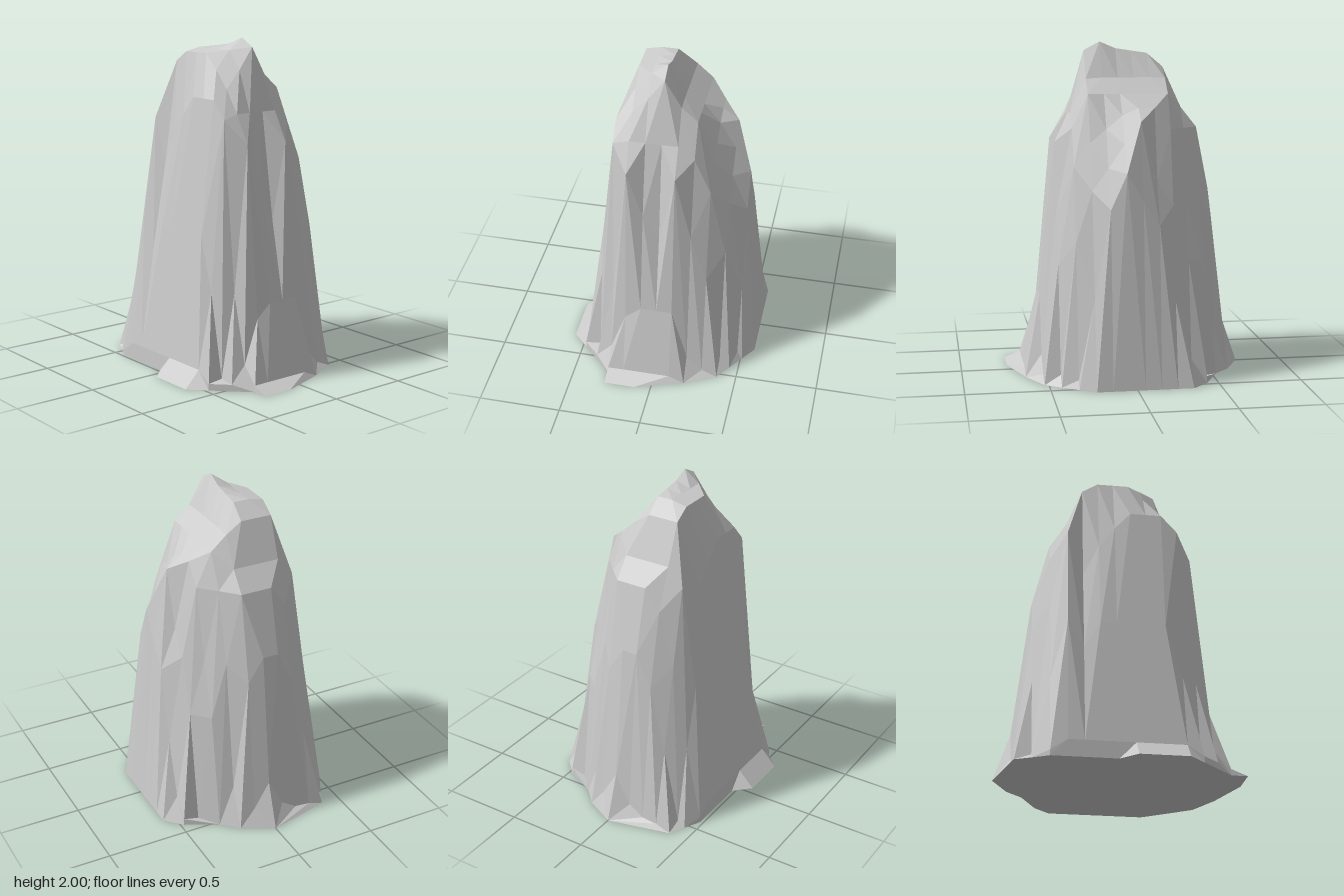
import * as THREE from 'three';

const COLS = 13, ROWS = 16, STEP = 0.0957;

// Ridge height for each grid column (left to right) and row (back to front)
const columnTop = [0, 0.1, 0.87, 1.66, 1.91, 1.93, 2, 1.79, 1.7, 1.62, 1.55, 1.26, 0];
const rowTop = [0, 0.28, 1.1, 1.49, 1.61, 1.85, 1.93, 1.945, 1.96, 2, 1.95, 1.58, 1.41, 0.48, 0.04, 0];

// Extent of the ground outline in x for each row
const rowSpan = [[0, 0], [-0.385, 0.19], [-0.43, 0.285], [-0.48, 0.48], [-0.48, 0.575], [-0.48, 0.575],
  [-0.48, 0.575], [-0.48, 0.575], [-0.575, 0.575], [-0.575, 0.575], [-0.575, 0.575], [-0.575, 0.51],
  [-0.48, 0.445], [-0.385, 0.38], [-0.29, 0.19], [-0.29, -0.1]];

// Slopes of the four diagonal sides as [distance, height]
const diagonals = [
  { sx: 1, sz: -1, slope: [[0, 2], [0.18, 1.94], [0.37, 1.75], [0.49, 1.65], [0.51, 1.57], [0.61, 1.1], [0.75, 0.6], [0.83, 0.2], [0.93, 0]] },
  { sx: -1, sz: 1, slope: [[0.15, 2], [0.24, 1.95], [0.28, 1.9], [0.4, 1.73], [0.56, 1.65], [0.63, 1.54], [0.65, 1.12], [0.71, 0.58], [0.82, 0.12], [0.93, 0.02]] },
  { sx: 1, sz: 1, slope: [[0.15, 2], [0.24, 1.95], [0.29, 1.82], [0.44, 1.7], [0.54, 1.5], [0.63, 1.22], [0.72, 0.85], [0.82, 0.15], [0.95, 0.02]] },
  { sx: -1, sz: -1, slope: [[0.23, 2], [0.42, 1.88], [0.52, 1.7], [0.61, 1.5], [0.69, 1.17], [0.79, 0.66], [0.88, 0.05], [0.98, 0]] },
];

// Clefts, shoulder notches and low foot ledges: row -> column -> height
const details = {
  1: { 3: 0.03, 4: 0.04, 5: 0.1, 7: 0.12 },
  2: { 4: 0.9, 7: 0.95, 8: 0.25 },
  3: { 4: 1.36, 10: 0.02 },
  4: { 3: 1.5, 11: 0.15 },
  5: { 2: 0.7, 3: 1.22, 11: 0.5 },
  6: { 3: 1.42, 10: 1.2, 11: 0.95 },
  7: { 3: 1.55, 11: 1.1 },
  8: { 9: 1.58, 10: 1.42 },
  9: { 9: 1.5, 10: 1.28, 11: 1.05 },
  10: { 9: 1.42, 10: 1.15, 11: 0.52 },
  11: { 8: 1.5, 9: 1.28, 10: 0.85, 11: 0.05 },
  12: { 2: 0.05, 5: 1.12, 6: 0.95, 8: 1.0, 9: 0.7, 10: 0.06 },
  13: { 3: 0.14, 4: 0.4, 8: 0.14, 9: 0.04 },
};

function along(slope, d) {
  if (d <= slope[0][0]) return slope[0][1];
  for (let i = 1; i < slope.length; i++) {
    const [d0, h0] = slope[i - 1], [d1, h1] = slope[i];
    if (d <= d1) return THREE.MathUtils.mapLinear(d, d0, d1, h0, h1);
  }
  return slope.at(-1)[1];
}

// Grid point of the rock: the lowest of the slopes that bound it, zero on the outline
function surfacePoint(col, row) {
  const [lo, hi] = rowSpan[row];
  const z = (row - (ROWS - 1) / 2) * STEP;
  const x = THREE.MathUtils.clamp((col - (COLS - 1) / 2) * STEP, lo, hi);
  if (x === lo || x === hi) return new THREE.Vector3(x, 0, z);
  const sides = diagonals.map(({ sx, sz, slope }) => along(slope, sx * x + sz * z));
  const height = details[row]?.[col] ?? Math.min(columnTop[col], rowTop[row], ...sides);
  return new THREE.Vector3(x, height, z);
}

export function createModel() {
  const grid = Array.from({ length: ROWS }, (_, row) =>
    Array.from({ length: COLS }, (_, col) => surfacePoint(col, row)));

  const corners = [];
  const addTriangle = (a, b, c) => {
    const flat = [a, b, c].map((p) => new THREE.Vector3(p.x, 0, p.z));
    if (new THREE.Triangle(...flat).getArea() < 1e-6) return;
    // Rock face above, flat underside below
    corners.push(a, b, c, flat[0], flat[2], flat[1]);
  };

  for (let row = 0; row < ROWS - 1; row++) {
    for (let col = 0; col < COLS - 1; col++) {
      const a = grid[row][col], b = grid[row][col + 1];
      const c = grid[row + 1][col], d = grid[row + 1][col + 1];
      // Split each cell along its higher diagonal so ridges stay sharp
      if (b.y + c.y > a.y + d.y) {
        addTriangle(a, c, b);
        addTriangle(b, c, d);
      } else {
        addTriangle(a, c, d);
        addTriangle(a, d, b);
      }
    }
  }
  const geometry = new THREE.BufferGeometry().setFromPoints(corners);
  geometry.computeVertexNormals();

  const rock = new THREE.Mesh(geometry, new THREE.MeshStandardMaterial({ color: 0xcccccc, flatShading: true }));
  rock.name = 'rockPillar';
  const model = new THREE.Group();
  model.name = 'rock';
  model.add(rock);
  return model;
}
